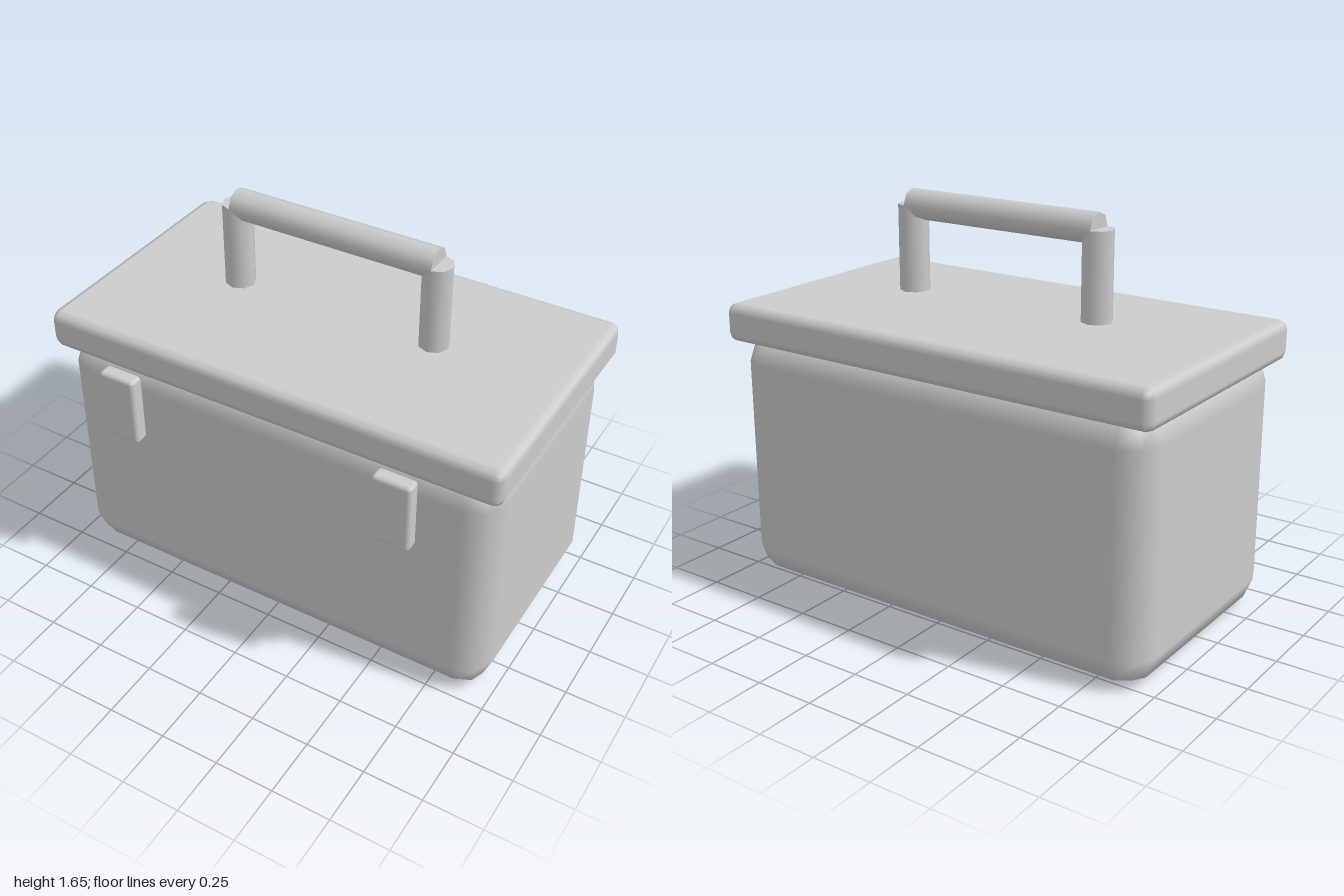
import * as THREE from 'three';
import { RoundedBoxGeometry } from 'three/addons/geometries/RoundedBoxGeometry.js';

export function createModel() {
  const model = new THREE.Group();
  model.name = 'toolbox';

  const grey = new THREE.MeshStandardMaterial({ color: 0xcccccc });
  grey.name = 'light grey';

  const midZ = -0.045; // centre line of box, lid and handle
  const add = (name, geometry, x, y, z, parent = model) => {
    const mesh = new THREE.Mesh(geometry, grey);
    mesh.name = name;
    mesh.position.set(x, y, z);
    parent.add(mesh);
    return mesh;
  };
  // Box with a two-step rounded edge
  const softBox = (w, h, d, r) => new RoundedBoxGeometry(w, h, d, 1, r);

  // Deep body whose upper rim tucks into the lid
  add('body', softBox(1.94, 1.075, 1.056, 0.125), 0, 0.5375, midZ);

  // Overhanging lid
  add('lid', softBox(2, 0.165, 1.11, 0.04), 0, 1.1175, midZ);

  // Handle: two eight-sided posts and a crossbar
  const handle = new THREE.Group();
  handle.name = 'handle';
  model.add(handle);
  const radius = 0.063;
  const bar = add('handleBar', new THREE.CylinderGeometry(radius, radius, 0.89, 8), 0, 1.587, midZ, handle);
  bar.rotation.z = Math.PI / 2;

  for (const [side, s] of [['left', 1], ['right', -1]]) {
    add(side + 'HandlePost', new THREE.CylinderGeometry(radius, radius, 0.36, 8), s * 0.444, 1.406, midZ, handle);
    // Latch plates standing off the front
    add(side + 'Latch', softBox(0.165, 0.304, 0.066, 0.016), s * 0.612, 0.921, 0.567);
  }

  return model;
}
